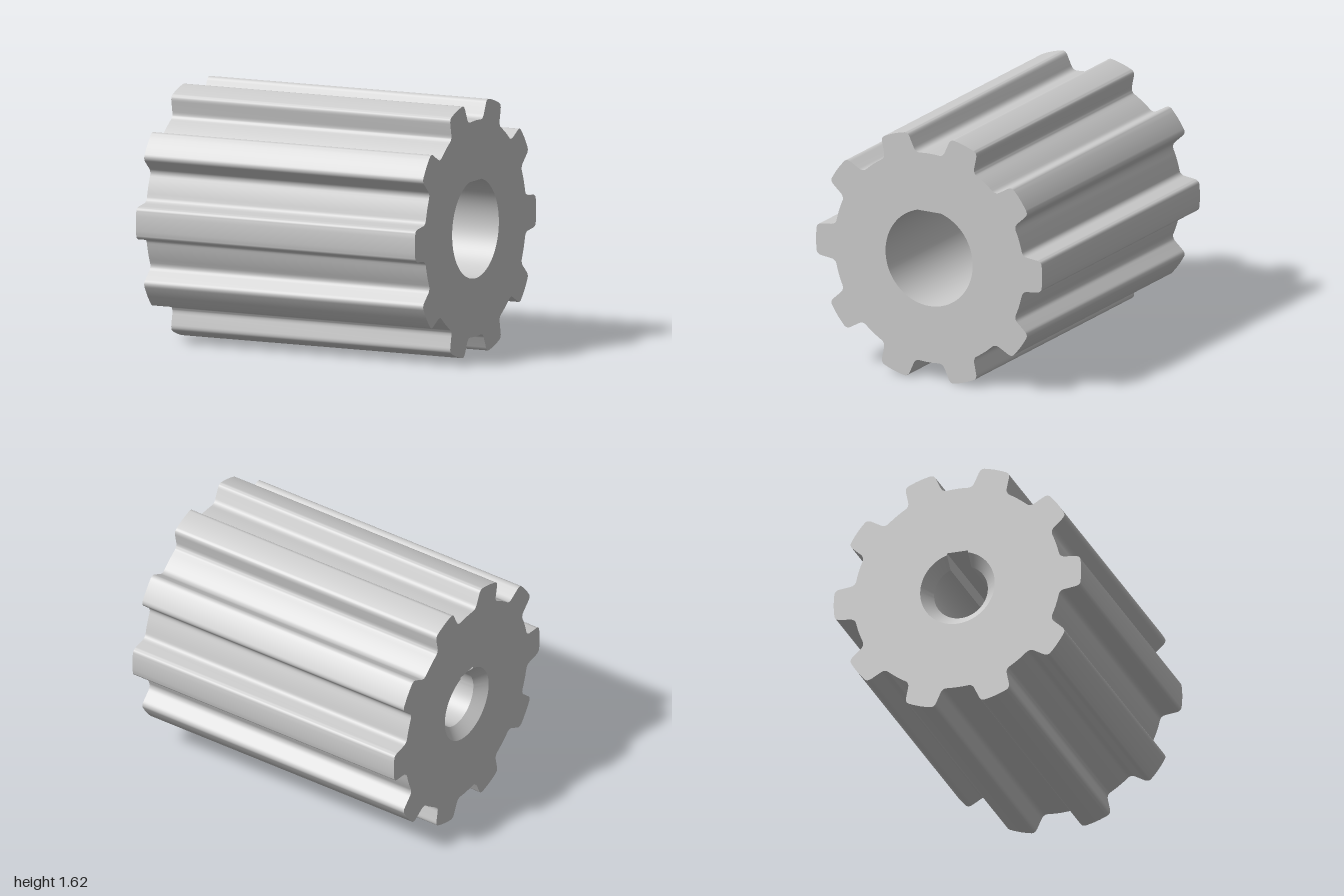
import * as THREE from 'three';
import { toCreasedNormals } from 'three/addons/utils/BufferGeometryUtils.js';

const TEETH = 10;
const ROOT = 0.695;
const CENTRE_Y = 0.81;
const STEP_X = -0.2; // where the wide counterbore meets the keyed bore
const CHAMFER = 0.07;

// Toothed outline, counter-clockwise
function gearOutline() {
  const shape = new THREE.Shape();
  const pitch = (Math.PI * 2) / TEETH;
  for (let i = 0; i < TEETH; i++) {
    const a = i * pitch, c = Math.cos(a), s = Math.sin(a);
    const at = (along, across) => [along * c - across * s, along * s + across * c];
    if (i === 0) shape.moveTo(...at(0.679, -0.15));
    shape.quadraticCurveTo(...at(0.685, -0.118), ...at(0.72, -0.114)); // root fillet
    shape.lineTo(...at(0.79, -0.106));
    shape.quadraticCurveTo(...at(0.825, -0.102), ...at(0.826, -0.07)); // tip corner
    shape.quadraticCurveTo(...at(0.834, 0), ...at(0.826, 0.07)); // tip
    shape.quadraticCurveTo(...at(0.825, 0.102), ...at(0.79, 0.106));
    shape.lineTo(...at(0.72, 0.114));
    shape.quadraticCurveTo(...at(0.685, 0.118), ...at(0.679, 0.15));
    // root land up to the next tooth
    const mid = a + pitch / 2, next = a + pitch - Math.asin(0.15 / ROOT);
    shape.quadraticCurveTo(0.698 * Math.cos(mid), 0.698 * Math.sin(mid),
      0.6947 * Math.cos(next), 0.6947 * Math.sin(next));
  }
  const points = shape.getPoints(6);
  if (points[0].distanceTo(points[points.length - 1]) < 0.002) points.pop();
  return points;
}

// Round bore with a keyway at the top, clockwise
function keyedBore(radius, segments = 72) {
  const half = 0.07, top = 0.253;
  const gap = Math.asin(half / radius);
  const points = [new THREE.Vector2(-half, top), new THREE.Vector2(half, top)];
  for (let i = 0; i <= segments; i++) {
    const t = gap + (i / segments) * (Math.PI * 2 - 2 * gap);
    points.push(new THREE.Vector2(radius * Math.sin(t), radius * Math.cos(t)));
  }
  return points;
}

// Joins closed rings placed along the axis; each ring is { x, points }
function loft(rings) {
  const positions = [];
  const put = (ring, i) => {
    const p = ring.points[i % ring.points.length];
    positions.push(p.x, p.y, ring.x);
  };
  for (let k = 0; k < rings.length - 1; k++) {
    const a = rings[k], b = rings[k + 1];
    for (let i = 0; i < a.points.length; i++) {
      put(a, i); put(a, i + 1); put(b, i + 1);
      put(a, i); put(b, i + 1); put(b, i);
    }
  }
  const geometry = new THREE.BufferGeometry();
  geometry.setAttribute('position', new THREE.Float32BufferAttribute(positions, 3));
  return toCreasedNormals(geometry, 0.6);
}

// Flat toothed end with a central opening
function endFace(outline, opening) {
  const shape = new THREE.Shape(outline);
  shape.holes.push(new THREE.Path(opening));
  return new THREE.ShapeGeometry(shape);
}

export function createModel() {
  const group = new THREE.Group();
  group.name = 'splinedRoller';
  const material = new THREE.MeshStandardMaterial({ color: 0xcccccc });
  const add = (name, geometry) => {
    const mesh = new THREE.Mesh(geometry, material);
    mesh.name = name;
    group.add(mesh);
    return mesh;
  };

  const outline = gearOutline();
  const wide = keyedBore(0.25);
  const narrow = keyedBore(0.18);
  const counterbore = wide.map((p) => p.clone().setLength(0.32));

  add('toothedSurface', loft([{ x: -1, points: outline }, { x: 1, points: outline }]));

  // Keyed bore with a chamfer at both ends
  add('keyedBore', loft([
    { x: -1, points: wide },
    { x: -1 + CHAMFER, points: narrow },
    { x: STEP_X - CHAMFER, points: narrow },
    { x: STEP_X, points: wide },
  ]));

  // Step and wide counterbore
  add('counterbore', loft([
    { x: STEP_X, points: wide },
    { x: STEP_X, points: counterbore },
    { x: 1, points: counterbore },
  ]));

  add('leftEnd', endFace(outline, counterbore)).position.z = 1;
  const rightEnd = add('rightEnd', endFace(outline, wide));
  rightEnd.position.z = -1;
  rightEnd.rotation.y = Math.PI;

  // Lay the axis along x
  group.rotation.y = Math.PI / 2;
  group.position.y = CENTRE_Y;
  const model = new THREE.Group();
  model.name = 'roller';
  model.add(group);
  return model;
}
